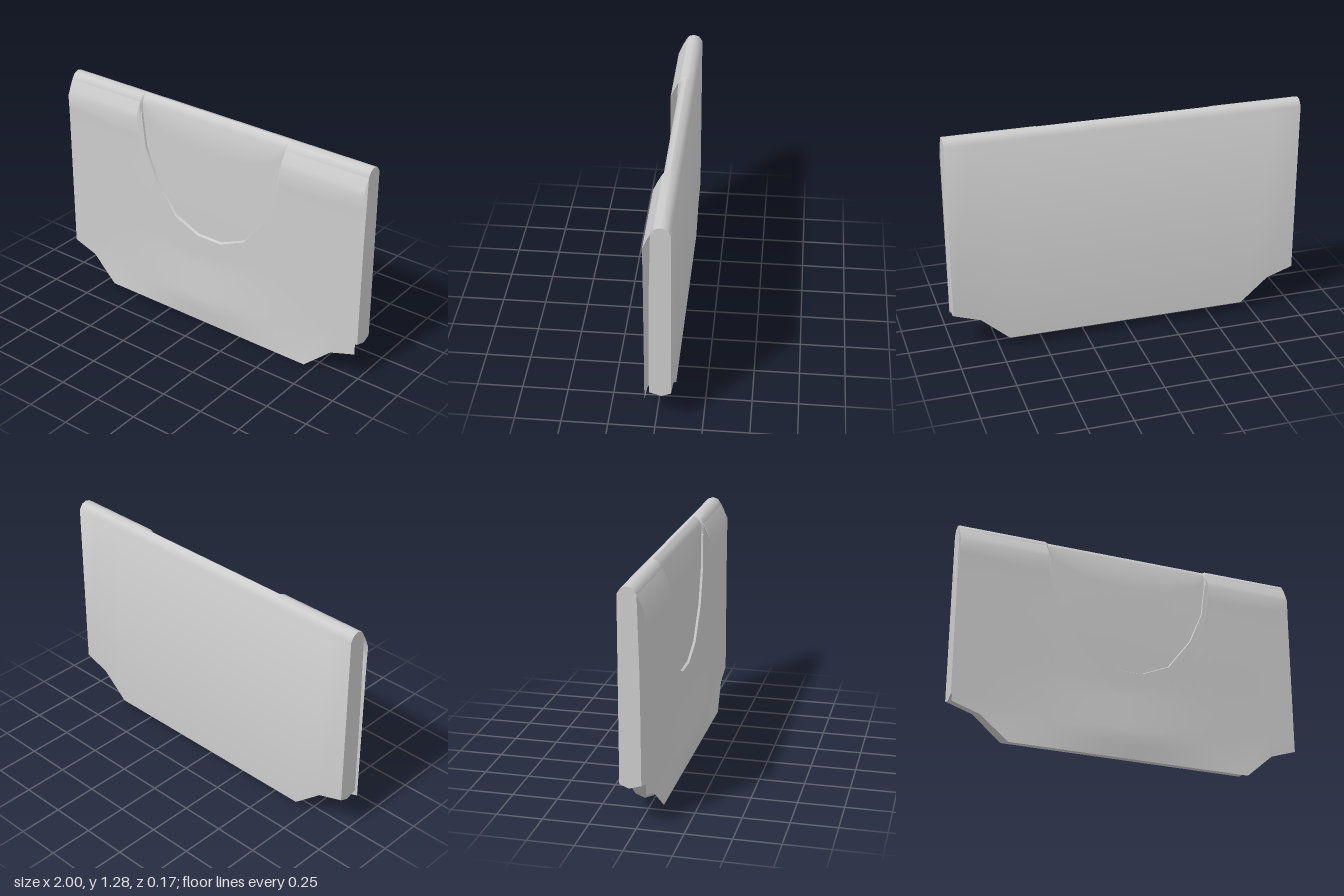
import * as THREE from 'three';
import { toCreasedNormals } from 'three/addons/utils/BufferGeometryUtils.js';

// piecewise linear interpolation through [input, output] pairs
function lerpTable(table, v) {
  if (v <= table[0][0]) return table[0][1];
  for (let i = 1; i < table.length; i++) {
    const [a, p] = table[i - 1], [b, q] = table[i];
    if (v <= b) return p + (q - p) * (v - a) / (b - a);
  }
  return table[table.length - 1][1];
}

// skin over columns of points (x increasing, rows running up the front)
function skin(columns, capped) {
  const pos = [];
  const tri = (a, b, c) => {
    const area = b.clone().sub(a).cross(c.clone().sub(a)).length();
    if (area > 1e-9) for (const p of [a, b, c]) pos.push(p.x, p.y, p.z);
  };
  for (let i = 0; i < columns.length - 1; i++) {
    const l = columns[i], r = columns[i + 1];
    for (let j = 0; j < l.length - 1; j++) {
      tri(l[j], r[j], r[j + 1]);
      tri(l[j], r[j + 1], l[j + 1]);
    }
  }
  if (capped) {
    for (const [c, right] of [[columns[0], false], [columns[columns.length - 1], true]]) {
      const mid = new THREE.Vector3(c[0].x, 0.7, -0.035);
      for (let j = 0; j < c.length - 1; j++) {
        if (right) tri(mid, c[j + 1], c[j]);
        else tri(mid, c[j], c[j + 1]);
      }
    }
  }
  const geo = new THREE.BufferGeometry();
  geo.setAttribute('position', new THREE.Float32BufferAttribute(pos, 3));
  return toCreasedNormals(geo, 0.75);
}

const mirrored = (half) => [...half.slice(1).reverse().map((x) => -x), ...half];

// lower outline shared by both parts, as height over |x|
const hem = [[0.69, 0], [0.85, 0.14], [1, 0.19]];

// padded body with rounded top, bevelled bottom and a shallow recessed panel
function bodyGeometry() {
  const recess = [[0.08, 0.53], [0.24, 0.6], [0.375, 0.78], [0.455, 0.97], [0.482, 1.17]];
  const front = [[0.05, 0.015], [0.23, 0.03], [0.8, 0.027], [1.24, 0.015]];
  const xs = mirrored([0, 0.08, 0.16, 0.24, 0.31, 0.375, 0.42, 0.455, 0.482, 0.492, 0.69, 0.85, 1]);
  const columns = xs.map((x) => {
    const ax = Math.abs(x);
    const inside = ax < 0.485;
    const depth = inside ? 0.013 : 0;
    const low = lerpTable(hem, ax) + 0.03;
    const edge = lerpTable(recess, ax);
    const loop = [];
    const add = (y, z) => loop.push(new THREE.Vector3(x, y, z));
    add(low, -0.035);
    for (let k = 0; k <= 6; k++) {
      const y = low + 0.02 + (edge - low - 0.02) * k / 6;
      add(y, lerpTable(front, y));
    }
    for (let k = 0; k <= 4; k++) {
      const y = edge + 0.007 + (1.24 - edge - 0.007) * k / 4;
      add(y, lerpTable(front, y) - depth);
    }
    add(1.27 - depth * 0.4, -0.005 - depth * 0.6);
    add(1.28, -0.035);
    add(1.27, -0.065);
    add(1.24, -0.085);
    add(low + 0.02, -0.085);
    add(low, -0.035);
    return loop;
  });
  return skin(columns, true);
}

// thin front flap with a U-shaped opening, hanging clear of the body
function flapGeometry() {
  const opening = [[0.08, 0.48], [0.24, 0.565], [0.38, 0.74], [0.46, 0.97], [0.485, 1.15], [0.492, 1.26]];
  const bulge = [[0, 0.55], [0.13, 1], [0.4, 0.35], [0.72, 0.3], [1, 0]];
  const rim = [[1.0, 0.052], [1.15, 0.056], [1.215, 0.028], [1.25, 0.008]];
  const depthAt = (x, y) => {
    if (y > 1) return lerpTable(rim, y);
    const centre = Math.exp(-((x / 0.5) ** 2));
    const hemLift = 0.016 * Math.max(0, 1 - y / 0.13) * (1 - centre);
    return 0.053 + 0.03 * centre * lerpTable(bulge, y) + hemLift;
  };
  const xs = mirrored([0, 0.08, 0.16, 0.24, 0.31, 0.38, 0.42, 0.46, 0.485, 0.492, 0.59, 0.69, 0.77, 0.85, 1]);
  const columns = xs.map((x) => {
    const ax = Math.abs(x);
    const low = lerpTable(hem, ax), high = lerpTable(opening, ax);
    const top = Math.min(high, 1.15);
    const column = [];
    for (let k = 0; k <= 12; k++) {
      const y = low + (top - low) * k / 12;
      column.push(new THREE.Vector3(x, y, depthAt(x, y)));
    }
    for (const row of [1.18, 1.215, 1.25]) {
      const y = Math.min(row, high);
      column.push(new THREE.Vector3(x, y, depthAt(x, y)));
    }
    return column;
  });
  return skin(columns, false);
}

export function createModel() {
  const group = new THREE.Group();
  const add = (name, geometry, side) => {
    const mesh = new THREE.Mesh(geometry, new THREE.MeshStandardMaterial({ color: 0xcccccc, side }));
    mesh.name = name;
    group.add(mesh);
  };
  add('body', bodyGeometry(), THREE.FrontSide);
  add('frontFlap', flapGeometry(), THREE.DoubleSide);
  return group;
}
